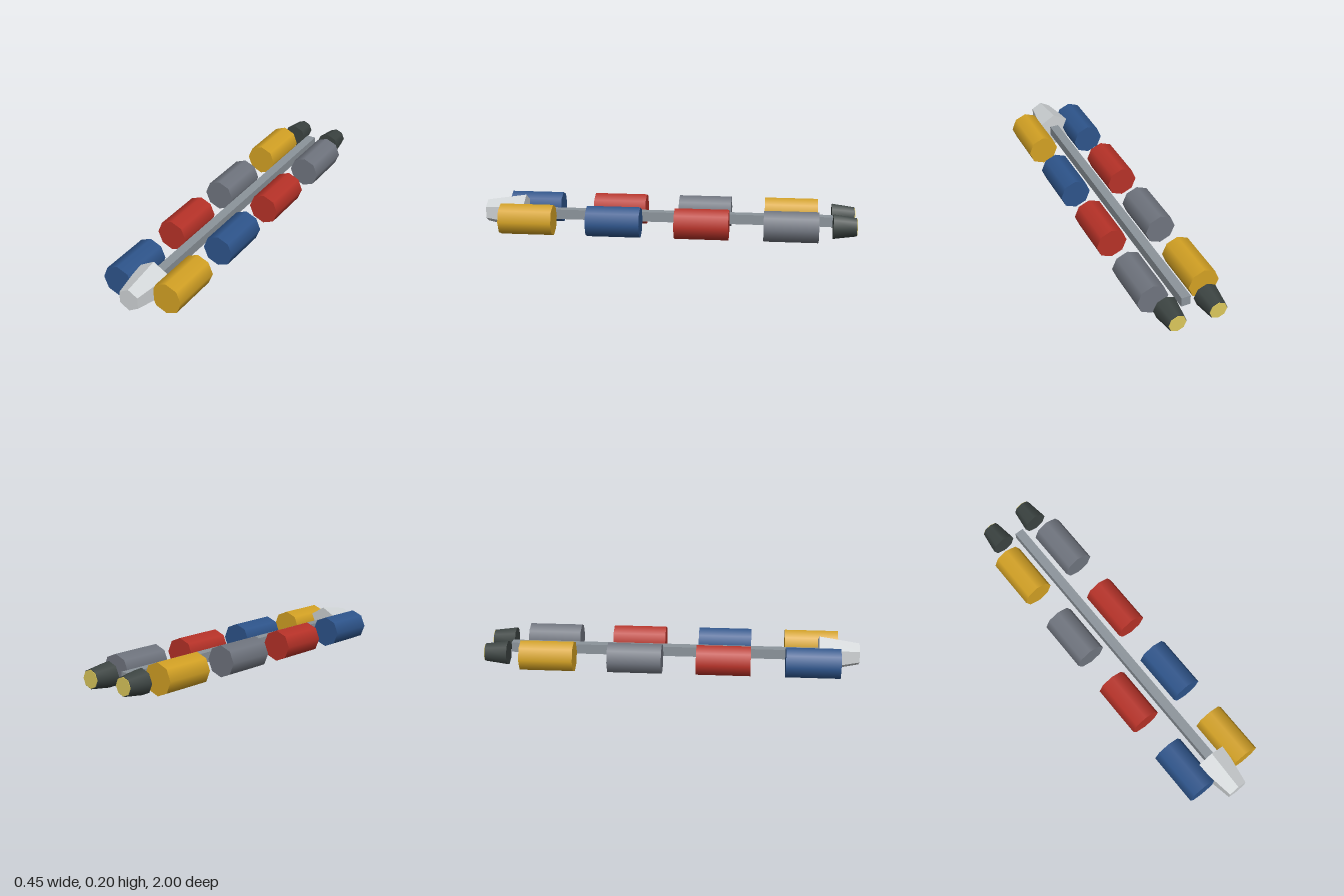
import * as THREE from 'three';

const paint = (name, color, flatShading = false) => {
  const m = new THREE.MeshStandardMaterial({ color, flatShading });
  m.name = name;
  return m;
};

export function createModel() {
  const group = new THREE.Group();
  const yellow = paint('yellow', 0xd4a224);
  const blue = paint('blue', 0x2e558c);
  const red = paint('red', 0xb83228);
  const grey = paint('grey', 0x70757f);
  const steel = paint('steel', 0x8c949b);
  const hull = paint('pale hull', 0xd0d4d6, true);
  const dark = paint('dark engine', 0x3c4442);
  const glow = paint('engine glow', 0xdcc85c);
  const axisY = 0.1;

  const add = (name, geometry, material, x, y, z) => {
    const mesh = new THREE.Mesh(geometry, material);
    mesh.name = name;
    mesh.position.set(x, y, z);
    group.add(mesh);
    return mesh;
  };
  // Cylinder lying along z
  const tube = (rFront, rBack, length, sides) =>
    new THREE.CylinderGeometry(rFront, rBack, length, sides).rotateX(Math.PI / 2);

  // Central spine
  add('spine', new THREE.BoxGeometry(0.05, 0.053, 1.68), steel, 0, axisY, -0.037);

  // Tapered hexagonal cab, its nose lifted slightly
  const cab = tube(0.06, 0.1, 0.215, 6);
  const p = cab.attributes.position;
  for (let i = 0; i < p.count; i++) {
    if (p.getZ(i) > 0) p.setY(i, p.getY(i) + 0.007);
  }
  cab.computeVertexNormals();
  add('cab', cab, hull, 0, axisY, 0.8925);

  // Two rows of cargo drums, front to back
  const drum = tube(0.084, 0.084, 0.286, 8);
  const colours = [yellow, blue, red, grey];
  for (let i = 0; i < 4; i++) {
    const z = 0.75 - i * 0.469;
    add('leftCargoDrum' + (i + 1), drum, colours[i], 0.14, axisY, z);
    add('rightCargoDrum' + (i + 1), drum, colours[(i + 1) % 4], -0.14, axisY, z);
  }

  // Engines with glowing exhausts
  const engine = tube(0.067, 0.05, 0.122, 8);
  const exhaust = tube(0.047, 0.047, 0.006, 8);
  for (const [side, x] of [['left', 0.11], ['right', -0.11]]) {
    add(side + 'Engine', engine, dark, x, axisY, -0.936);
    add(side + 'Exhaust', exhaust, glow, x, axisY, -0.997);
  }
  return group;
}
